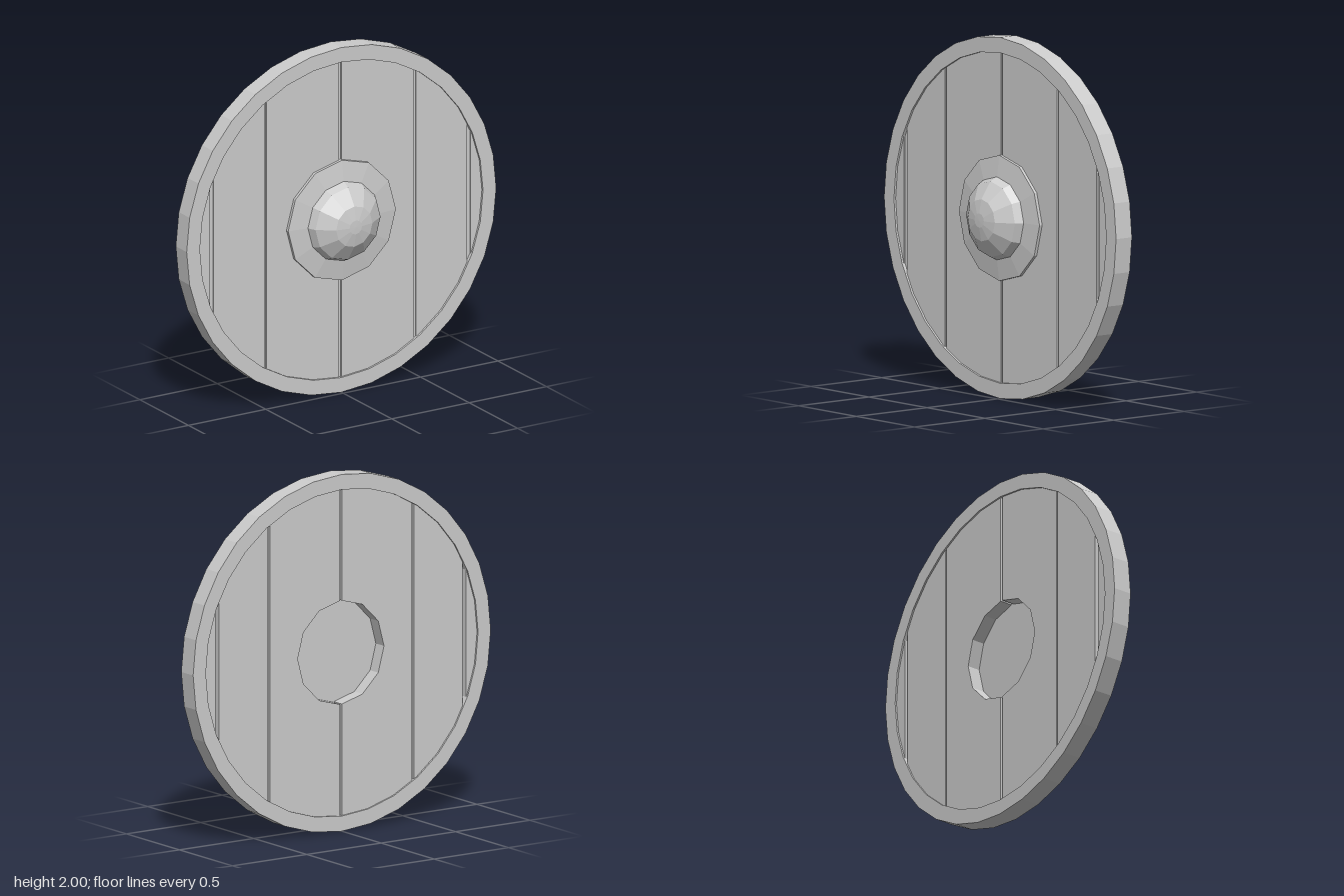
import * as THREE from 'three';

const BACK = -0.12, FRONT = -0.03; // plank faces
const CORE_BACK = -0.043, CORE_FRONT = -0.038; // thin sheet closing the grooves

const mat = new THREE.MeshStandardMaterial({ color: 0xcccccc, flatShading: true });

function add(group, name, geometry) {
  const mesh = new THREE.Mesh(geometry, mat);
  mesh.name = name;
  group.add(mesh);
}

// Lathe turned so that its axis is z; profile points are [radius, z]
function turned(profile, sides) {
  const pts = profile.map(([r, z]) => new THREE.Vector2(r, z));
  return new THREE.LatheGeometry(pts, sides).rotateX(Math.PI / 2);
}

// Slice of the disc between x = a and x = b, optionally notched for the grip hole
function plankShape(a, b, side, holeRadius) {
  const R = 0.945, steps = 8, pts = [];
  for (const s of [1, -1]) {
    for (let i = 0; i <= steps; i++) {
      const t = s > 0 ? i / steps : 1 - i / steps;
      const x = a + (b - a) * t;
      pts.push(new THREE.Vector2(side * x, s * Math.sqrt(R * R - x * x)));
    }
  }
  if (holeRadius) {
    for (let i = 0; i <= 6; i++) {
      const t = -Math.PI / 2 + i * Math.PI / 6;
      const x = Math.max(a, holeRadius * Math.cos(t));
      pts.push(new THREE.Vector2(side * x, holeRadius * Math.sin(t)));
    }
  }
  return new THREE.Shape(pts);
}

function slab(shape, z0, z1) {
  return new THREE.ExtrudeGeometry(shape, { depth: z1 - z0, bevelEnabled: false }).translate(0, 0, z0);
}

export function createModel() {
  const shield = new THREE.Group();
  shield.name = 'roundShield';
  const body = new THREE.Group();
  body.name = 'shieldBody';
  body.position.y = 1;
  shield.add(body);

  // Outer rim
  add(body, 'rim', turned([
    [0.915, -0.13], [1, -0.13], [1, -0.018], [0.915, -0.018], [0.915, -0.13],
  ], 32));

  // Planks, mirrored left and right, with narrow grooves between them
  const planks = [[0.007, 0.478], [0.49, 0.818], [0.842, 0.94]];
  for (const side of [1, -1]) {
    planks.forEach(([a, b], i) => {
      const plank = new THREE.Group();
      plank.name = (side > 0 ? 'left' : 'right') + 'Plank' + (i + 1);
      add(plank, 'plankFront', slab(plankShape(a, b, side, 0), CORE_FRONT, FRONT));
      add(plank, 'plankBack', slab(plankShape(a, b, side, i === 0 ? 0.29 : 0), BACK, CORE_BACK));
      body.add(plank);
    });
  }

  // Sheet at the bottom of the grooves and of the grip hole
  add(body, 'core', turned([
    [0, CORE_BACK], [0.945, CORE_BACK], [0.945, CORE_FRONT], [0, CORE_FRONT],
  ], 32));

  // Domed boss with its flange
  add(body, 'boss', turned([
    [0, -0.033], [0.348, -0.033], [0.348, -0.012], [0.23, 0.004],
    [0.21, 0.05], [0.117, 0.115], [0.04, 0.13], [0, 0.131],
  ], 12));

  return shield;
}
